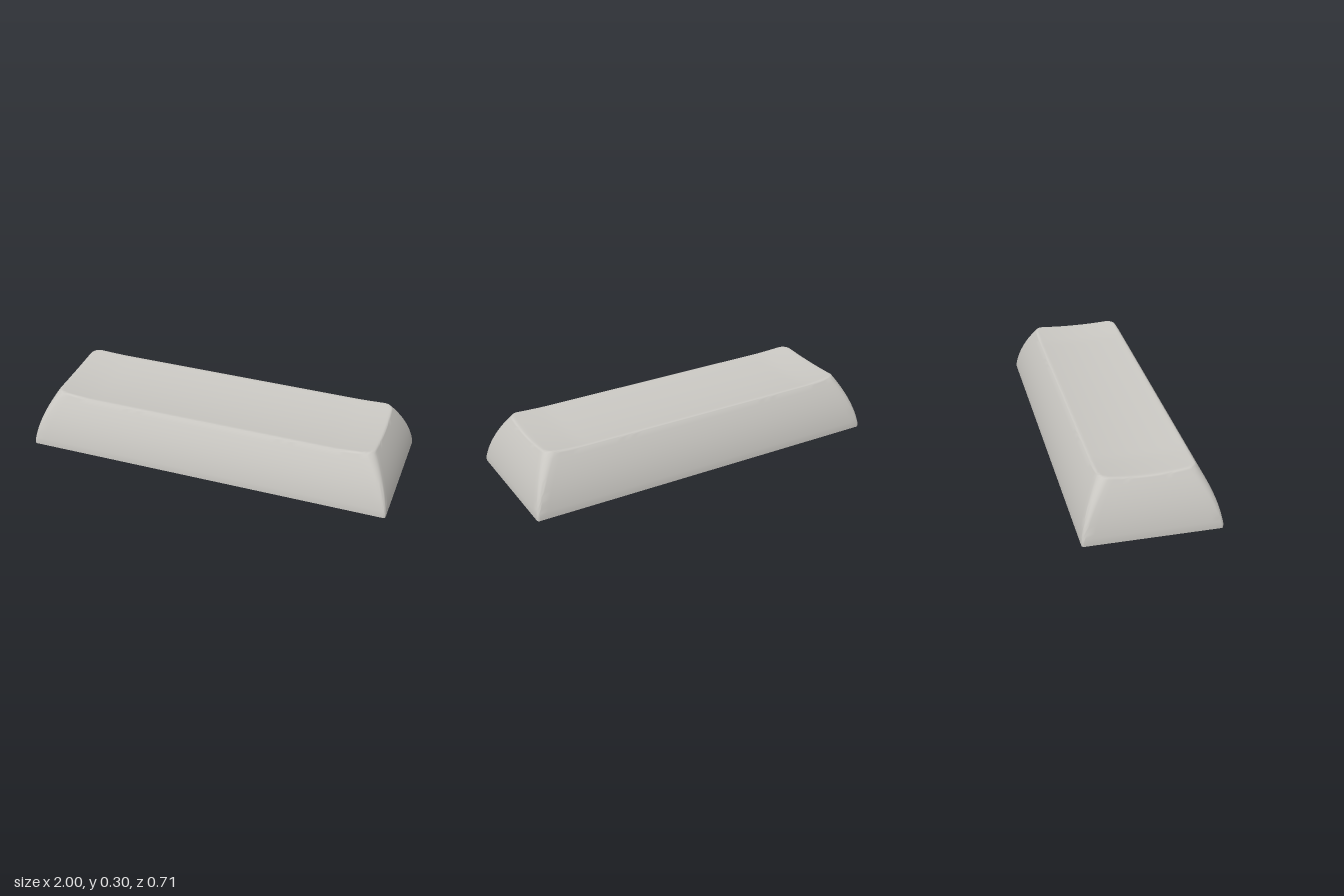
import * as THREE from 'three';
import { toCreasedNormals } from 'three/addons/utils/BufferGeometryUtils.js';

const HALF_X = 1, HALF_Z = 0.355, CEILING = 0.19;

// Perimeter of a rounded rectangle: side position (cx, cz) plus corner direction (ca, sa)
function makePerimeter() {
  const corners = [[1, 1], [-1, 1], [-1, -1], [1, -1]];
  const list = [];
  corners.forEach(([cx, cz], i) => {
    for (let k = 0; k <= 6; k++) {
      const a = (i + k / 6) * Math.PI / 2;
      list.push({ cx, cz, ca: Math.cos(a), sa: Math.sin(a) });
    }
    const [nx, nz] = corners[(i + 1) % 4];
    const steps = i % 2 ? 16 : 48;
    const a = (i + 1) * Math.PI / 2;
    for (let k = 1; k < steps; k++) {
      const t = k / steps;
      list.push({ cx: cx + (nx - cx) * t, cz: cz + (nz - cz) * t, ca: Math.cos(a), sa: Math.sin(a) });
    }
  });
  return list;
}
const perimeter = makePerimeter();

function place(p, inset, r) {
  return [
    p.cx * (HALF_X - inset - r) + p.ca * r,
    p.cz * (HALF_Z - inset - r) + p.sa * r,
  ];
}

// Dished top: hollow across the depth, rising towards both ends
function topHeight(x, z) {
  const across = Math.min(1, Math.abs(z) / 0.235);
  const end = THREE.MathUtils.clamp((Math.abs(x) - 0.68) / 0.2, 0, 1);
  return 0.277 + 0.015 * across ** 2 + 0.013 * end ** 1.3;
}

// Bulging side walls: inset and corner radius at a given height
const rise = y => Math.max(0, (y - 0.02) / 0.28);
const wallInset = y => 0.11 * (0.35 * rise(y) + 0.65 * rise(y) ** 2);
const wallRadius = y => 0.012 + 0.038 * rise(y);

// Skin a list of rings; each ring maps a perimeter entry to [x, y, z]
function loft(rings) {
  const n = perimeter.length, pos = [], index = [];
  rings.forEach(ring => perimeter.forEach(p => pos.push(...ring(p))));
  for (let j = 0; j < rings.length - 1; j++) {
    for (let k = 0; k < n; k++) {
      const a = j * n + k, b = j * n + (k + 1) % n;
      index.push(a, a + n, b, b, a + n, b + n);
    }
  }
  const geo = new THREE.BufferGeometry();
  geo.setAttribute('position', new THREE.Float32BufferAttribute(pos, 3));
  geo.setIndex(index);
  return toCreasedNormals(geo, 0.7);
}

function outerGeometry() {
  const rimHeight = p => topHeight(...place(p, 0.115, 0.05));
  const rings = [];
  // Side walls
  const wall = (p, y, extra = 0) => {
    const [x, z] = place(p, wallInset(y) + extra, wallRadius(y));
    return [x, y, z];
  };
  rings.push(p => wall(p, 0));
  for (let i = 0; i <= 14; i++) {
    rings.push(p => wall(p, 0.02 + (rimHeight(p) - 0.028) * i / 14));
  }
  // Softened rim
  const rim = (p, drop, extra) => {
    const y = rimHeight(p);
    const [x, z] = place(p, wallInset(y - 0.008) + extra, wallRadius(y));
    return [x, y - drop, z];
  };
  rings.push(p => rim(p, 0.003, 0.003), p => rim(p, 0.0008, 0.007));
  // Dished top, closing towards the centre
  for (let i = 0; i <= 24; i++) {
    const s = 1 - (i / 24) ** 1.4;
    rings.push(p => {
      const [x, , z] = rim(p, 0, 0.013);
      return [x * s, topHeight(x * s, z * s), z * s];
    });
  }
  return loft(rings);
}

function cavityGeometry() {
  const flat = (inset, r, y, s = 1) => p => {
    const [x, z] = place(p, inset, r);
    return [x * s, y, z * s];
  };
  return loft([
    flat(0.08, 0.004, CEILING, 0), // ceiling
    flat(0.08, 0.004, CEILING),
    flat(0.038, 0.004, 0),         // inner wall
    flat(0, 0.012, 0),             // bottom lip
  ]);
}

// Round post with a cross-shaped socket
function stemGeometry() {
  const shape = new THREE.Shape().absarc(0, 0, 0.106, 0, Math.PI * 2, false);
  const L = 0.077, w = 0.023;
  const cross = [[L, -w], [L, w], [w, w], [w, L], [-w, L], [-w, w],
    [-L, w], [-L, -w], [-w, -w], [-w, -L], [w, -L], [w, -w]];
  shape.holes.push(new THREE.Path(cross.map(c => new THREE.Vector2(...c))));
  const geo = new THREE.ExtrudeGeometry(shape, { depth: CEILING, bevelEnabled: false, curveSegments: 32 });
  geo.rotateX(-Math.PI / 2);
  return toCreasedNormals(geo, 0.6);
}

export function createModel() {
  const group = new THREE.Group();
  group.name = 'keycap';
  const plastic = new THREE.MeshStandardMaterial({ color: 0xc9c7c2 });
  plastic.name = 'warm grey plastic';

  const add = (name, geo, x = 0) => {
    const mesh = new THREE.Mesh(geo, plastic);
    mesh.name = name;
    mesh.position.x = x;
    group.add(mesh);
  };

  add('outerShell', outerGeometry());
  add('innerCavity', cavityGeometry());
  const stem = stemGeometry();
  [['rightStem', -0.467], ['centreStem', 0], ['leftStem', 0.467]].forEach(([name, x]) => add(name, stem, x));
  return group;
}
